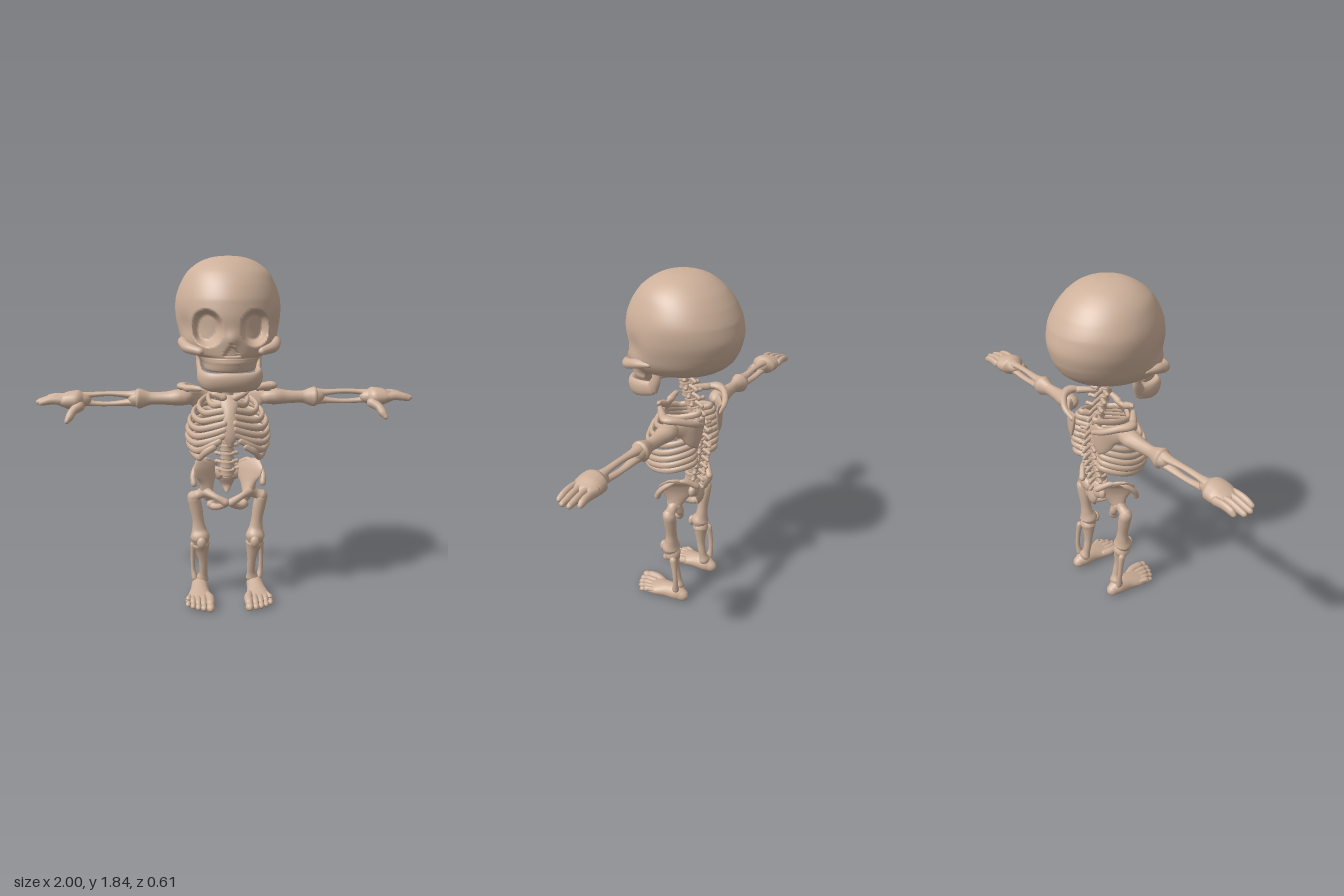
import * as THREE from 'three';

const bone = new THREE.MeshStandardMaterial({ color: 0xcdb09a });
bone.name = 'bone';
const V = (x, y, z) => new THREE.Vector3(x, y, z);

// closed skin over a stack of rings; point(i, j) gives each corner
function skin(rings, cols, point) {
  const pos = [], idx = [];
  for (let i = 0; i < rings; i++) for (let j = 0; j < cols; j++) pos.push(...point(i, j));
  for (let i = 0; i < rings - 1; i++) for (let j = 0; j < cols; j++) {
    const k = (j + 1) % cols, a = i * cols, b = a + cols;
    idx.push(a + j, a + k, b + j, a + k, b + k, b + j);
  }
  const g = new THREE.BufferGeometry();
  g.setAttribute('position', new THREE.Float32BufferAttribute(pos, 3));
  g.setIndex(idx);
  g.computeVertexNormals();
  return g;
}

function add(parent, name, geometry) {
  const m = new THREE.Mesh(geometry, bone);
  m.name = name;
  parent.add(m);
  return m;
}

// rounded bone through rows [x, y, z, radius along up, radius across]; s = -1 mirrors it
function sweep(parent, name, rows, s = 1, up = [0, 1, 0], n = 18, cols = 12) {
  const path = new THREE.CatmullRomCurve3(rows.map(r => V(r[0] * s, r[1], r[2])));
  const size = new THREE.CatmullRomCurve3(rows.map(r => V(r[3], r[4] ?? r[3], 0)));
  const U = V(up[0] * s, up[1], up[2]);
  const rings = [];
  const ring = (t, cap) => {
    const p = path.getPoint(t), T = path.getTangent(t), q = size.getPoint(t);
    const N = U.clone().addScaledVector(T, -U.dot(T)).normalize();
    const B = T.clone().cross(N);
    p.addScaledVector(T, Math.sin(cap) * Math.min(q.x, q.y));
    rings.push({ p, N, B, a: q.x * Math.cos(cap), b: q.y * Math.cos(cap) });
  };
  for (const c of [1.565, 1.1, 0.55]) ring(0, -c);
  for (let i = 0; i <= n; i++) ring(i / n, 0);
  for (const c of [0.55, 1.1, 1.565]) ring(1, c);
  return add(parent, name, skin(rings.length, cols, (i, j) => {
    const r = rings[i], t = j / cols * Math.PI * 2, c = r.a * Math.cos(t), d = r.b * Math.sin(t);
    const v = r.p.clone().addScaledVector(r.N, c).addScaledVector(r.B, d);
    return [v.x, Math.max(v.y, 0), v.z];
  }));
}

const smooth = (a, b, x) => THREE.MathUtils.smoothstep(x, a, b);
const bump = (dx, dy) => Math.exp(-dx * dx - dy * dy);

function skull(root) {
  const g = new THREE.Group();
  g.name = 'skull';
  root.add(g);
  // rows: height, half width, front z, back z, z of widest point
  const keys = [
    [1.292, .004, .2, .19, .195], [1.29, .12, .275, .12, .16], [1.325, .135, .287, .11, .14],
    [1.348, .155, .288, .06, .1], [1.357, .172, .286, -.1, .06], [1.372, .2, .288, -.2, .05],
    [1.42, .236, .29, -.265, .04], [1.48, .254, .29, -.297, .02], [1.55, .266, .293, -.31, -.01],
    [1.63, .264, .282, -.293, -.03], [1.7, .24, .25, -.255, -.02], [1.76, .203, .203, -.205, 0],
    [1.805, .147, .142, -.142, 0], [1.83, .08, .08, -.075, 0], [1.838, .002, .002, -.002, 0]];
  const c1 = new THREE.CatmullRomCurve3(keys.map(k => V(k[0], k[1], k[4])));
  const c2 = new THREE.CatmullRomCurve3(keys.map(k => V(k[2], k[3], 0)));
  const R = 130, C = 150;
  add(g, 'cranium', skin(R, C, (i, j) => {
    const u = i / (R - 1), t = j / C * Math.PI * 2, p = c1.getPoint(u), q = c2.getPoint(u);
    const cs = Math.cos(t), y = p.x;
    let x = p.y * Math.sin(t), z = p.z + cs * (cs > 0 ? q.x - p.z : p.z - q.y);
    if (z > .08) {
      // eye sockets, nose bridge and nose opening
      const d = Math.hypot((Math.abs(x) - .118) / .072, (y - 1.497) / .085);
      const w = .006 + .028 * THREE.MathUtils.clamp((1.415 - y) / .04, 0, 1);
      const hole = smooth(1.365, 1.375, y) * smooth(1.425, 1.412, y) * smooth(w, w * .6, Math.abs(x));
      z += .014 * bump(x / .035, (y - 1.45) / .035);
      z -= .095 * (1 - smooth(.72, 1.06, d)) + .04 * (y < 1.425 && y > 1.365 && Math.abs(x) < w ? Math.max(hole, .6) : 0);
    }
    // hollow temples
    x *= 1 - .07 * bump((z - .15) / .07, (y - 1.5) / .06);
    return [x, y, z];
  }));
  for (const s of [1, -1]) {
    sweep(g, 'cheekbone', [[.15, 1.385, .235, .02], [.21, 1.4, .185, .026], [.232, 1.42, .12, .025], [.236, 1.43, .04, .012]], s);
    sweep(g, 'jawBranch', [[.152, 1.375, .055, .022, .014], [.152, 1.32, .06, .026, .015], [.146, 1.262, .09, .034, .016]], s, [0, 0, 1]);
  }
  const half = [[.146, 1.265, .09, .036, .016], [.142, 1.25, .17, .043, .02], [.105, 1.238, .235, .048, .024]];
  sweep(g, 'jaw', [...half, [0, 1.236, .258, .05, .026], ...half.map(r => [-r[0], ...r.slice(1)]).reverse()], 1, [0, 1, .3], 36, 18);
}

function spine(root) {
  const g = new THREE.Group();
  g.name = 'spine';
  root.add(g);
  const path = new THREE.CatmullRomCurve3([[1.36, 0], [1.27, -.008], [1.18, -.045], [1.05, -.085], [.95, -.095],
    [.85, -.08], [.75, -.058], [.67, -.055]].map(p => V(0, p[0], p[1])));
  add(g, 'spinalCore', new THREE.TubeGeometry(path, 40, .025, 10));
  const count = 16;
  for (let i = 0; i < count; i++) {
    const p = path.getPointAt((i + .3) / count), r = .029 + .013 * i / count, h = .017;
    const body = add(g, 'vertebra', new THREE.LatheGeometry(
      [[0, -h], [r * .9, -h], [r, -h * .7], [r * .84, 0], [r, h * .7], [r * .9, h], [0, h]].map(q => new THREE.Vector2(...q)), 16));
    body.position.copy(p);
    sweep(g, 'spinousProcess', [[0, p.y, p.z - .02, .014, .01], [0, p.y - .008, p.z - .05, .012, .008], [0, p.y - .018, p.z - .068, .012, .009]], 1, [0, 1, 0], 5, 8);
    for (const s of [1, -1]) sweep(g, 'sideProcess', [[.015, p.y, p.z - .02, .011], [.045, p.y + .004, p.z - .035, .01], [.055, p.y + .005, p.z - .04, .012]], s, [0, 1, 0], 5, 8);
  }
  sweep(g, 'sacrum', [[0, .71, -.08, .016, .05], [0, .66, -.1, .018, .05], [0, .61, -.11, .013, .03], [0, .575, -.095, .008, .01]], 1, [0, 0, 1]);
}

function ribCage(root) {
  const g = new THREE.Group();
  g.name = 'ribCage';
  root.add(g);
  sweep(g, 'sternum', [[0, 1.135, .092, .014, .045], [0, 1.1, .115, .016, .045], [0, 1.06, .142, .014, .032],
    [0, 1, .162, .014, .038], [0, .945, .17, .014, .034], [0, .9, .168, .01, .014]], 1, [0, 0, 1]);
  const widths = [.1, .15, .18, .2, .21, .213, .208, .192];
  for (const s of [1, -1]) widths.forEach((w, i) => {
    const yb = 1.14 - .038 * i, ys = 1.105 - .03 * i, zs = Math.min(.168, .105 + .02 * i);
    const ex = .025 + Math.max(0, i - 5) * .028;
    sweep(g, 'rib', [[.025, yb, -.1], [w * .55, yb + .008, -.132], [w * .95, yb - .015, -.06], [w, yb - .035, .02],
      [w * .8, yb - .048, zs * .68], [ex + w * .25, (yb - .045 + ys) / 2, zs - .012], [ex, ys, zs]].map(p => [...p, .017, .012]), s, [0, 1, 0], 28, 10);
  });
}

function arm(root, s) {
  const g = new THREE.Group();
  g.name = s > 0 ? 'leftArm' : 'rightArm';
  root.add(g);
  sweep(g, 'collarbone', [[.03, 1.135, .1, .02], [.08, 1.155, .095, .014], [.15, 1.172, .04, .014], [.215, 1.168, -.02, .02]], s);
  sweep(g, 'shoulderBlade', [[.215, 1.11, -.075, .035, .025], [.175, 1.1, -.115, .045, .014], [.13, 1.075, -.148, .072, .011], [.085, 1.06, -.16, .085, .009]], s);
  sweep(g, 'shoulderRidge', [[.085, 1.105, -.165, .012], [.15, 1.135, -.16, .016], [.215, 1.165, -.115, .018], [.24, 1.172, -.06, .02, .028], [.22, 1.17, -.02, .016]], s);
  sweep(g, 'upperArm', [[.22, 1.11, -.07, .042, .045], [.26, 1.11, -.07, .044, .05], [.32, 1.107, -.07, .036, .036],
    [.4, 1.107, -.07, .033, .028], [.445, 1.107, -.07, .048, .04], [.47, 1.107, -.07, .054, .05], [.485, 1.107, -.07, .04, .04]], s);
  // paired forearm bones
  for (const d of [1, -1]) sweep(g, 'forearm', [[.48, 1.107 + d * .016, -.07, .03, .032], [.53, 1.107 + d * .021, -.072, .018, .023],
    [.62, 1.107 + d * .027, -.072, .013, .017], [.7, 1.107 + d * .024, -.07, .014, .018], [.76, 1.107 + d * .016, -.066, .022, .028]], s);
  sweep(g, 'palm', [[.75, 1.105, -.06, .036, .04], [.785, 1.105, -.058, .052, .07], [.83, 1.105, -.062, .046, .072], [.87, 1.105, -.068, .03, .062]], s, [0, 1, 0], 18, 18);
  sweep(g, 'thumb', [[.77, 1.08, -.01, .028], [.8, 1.06, .02, .022], [.815, 1.035, .042, .021], [.828, 1.015, .058, .013]], s);
  [[-.121, .955], [-.086, .983], [-.05, .986], [-.016, .966]].forEach(([z, x]) =>
    sweep(g, 'finger', [[.85, 1.108, z, .022, .018], [.9, 1.112, z, .021, .016], [.94, 1.106, z, .019, .016], [x, 1.098, z, .014, .013]], s));
}

function hip(root, s) {
  const g = new THREE.Group();
  g.name = s > 0 ? 'leftHip' : 'rightHip';
  root.add(g);
  sweep(g, 'hipWing', [[.115, .6, -.02, .036, .036], [.112, .645, -.03, .058, .022], [.113, .69, -.038, .092, .014],
    [.12, .73, -.045, .1, .012], [.128, .757, -.055, .07, .012], [.13, .765, -.06, .045, .009]], s, [.62, 0, .78], 24, 20);
  sweep(g, 'hipCrest', [[.183, .665, .045, .017], [.187, .705, .025, .015], [.165, .748, -.02, .014], [.12, .764, -.075, .014], [.065, .725, -.125, .018]], s);
  sweep(g, 'sacralJoint', [[.085, .7, -.11, .03, .02], [.035, .675, -.1, .035, .025]], s);
  sweep(g, 'pubicBone', [[.115, .605, 0, .026], [.07, .59, .04, .017], [.015, .56, .052, .022]], s);
  sweep(g, 'sitBone', [[.115, .6, -.03, .03], [.1, .55, -.045, .022], [.085, .52, -.025, .022], [.05, .525, .015, .016], [.016, .55, .045, .018]], s, [0, .2, 1]);
}

function leg(root, s) {
  const g = new THREE.Group();
  g.name = s > 0 ? 'leftLeg' : 'rightLeg';
  root.add(g);
  const F = [0, 0, 1];
  sweep(g, 'thighHead', [[.125, .6, -.02, .034], [.155, .585, -.025, .027], [.185, .57, -.028, .034]], s);
  sweep(g, 'thigh', [[.185, .565, -.03, .036, .034], [.173, .51, -.03, .033, .035], [.162, .44, -.028, .029, .031],
    [.156, .38, -.025, .034, .04], [.152, .345, -.018, .05, .053], [.15, .325, -.018, .042, .048]], s, F);
  add(g, 'kneecap', new THREE.SphereGeometry(.028, 16, 12).scale(.9, 1.15, .65)).position.set(.145 * s, .325, .034);
  sweep(g, 'shin', [[.148, .3, -.025, .045, .05], [.142, .265, -.028, .034, .038], [.135, .19, -.036, .023, .024],
    [.134, .12, -.05, .022, .023], [.14, .08, -.06, .03, .036]], s, F);
  sweep(g, 'calfBone', [[.188, .285, -.055, .02, .017], [.192, .2, -.068, .014, .012], [.19, .13, -.072, .014, .013], [.182, .08, -.066, .021, .018]], s, F);
  sweep(g, 'foot', [[.155, .034, -.095, .036, .034], [.155, .04, -.06, .046, .046], [.157, .036, 0, .042, .05],
    [.16, .028, .06, .034, .064], [.16, .022, .11, .024, .07]], s, [0, 1, 0], 18, 18);
  // toes, from the big one outward
  [[.104, .19, .024], [.139, .188, .018], [.168, .178, .017], [.196, .162, .016], [.222, .14, .015]].forEach(([x, z, r]) =>
    sweep(g, 'toe', [[.04 + x * .75, .034, .06, r * .9], [x, .034, .11, r], [x, .03, z - .03, r * .95], [x, .019, z, r * .95]], s));
}

export function createModel() {
  const root = new THREE.Group();
  root.name = 'skeleton';
  skull(root);
  spine(root);
  ribCage(root);
  for (const s of [1, -1]) {
    arm(root, s);
    hip(root, s);
    leg(root, s);
  }
  return root;
}
